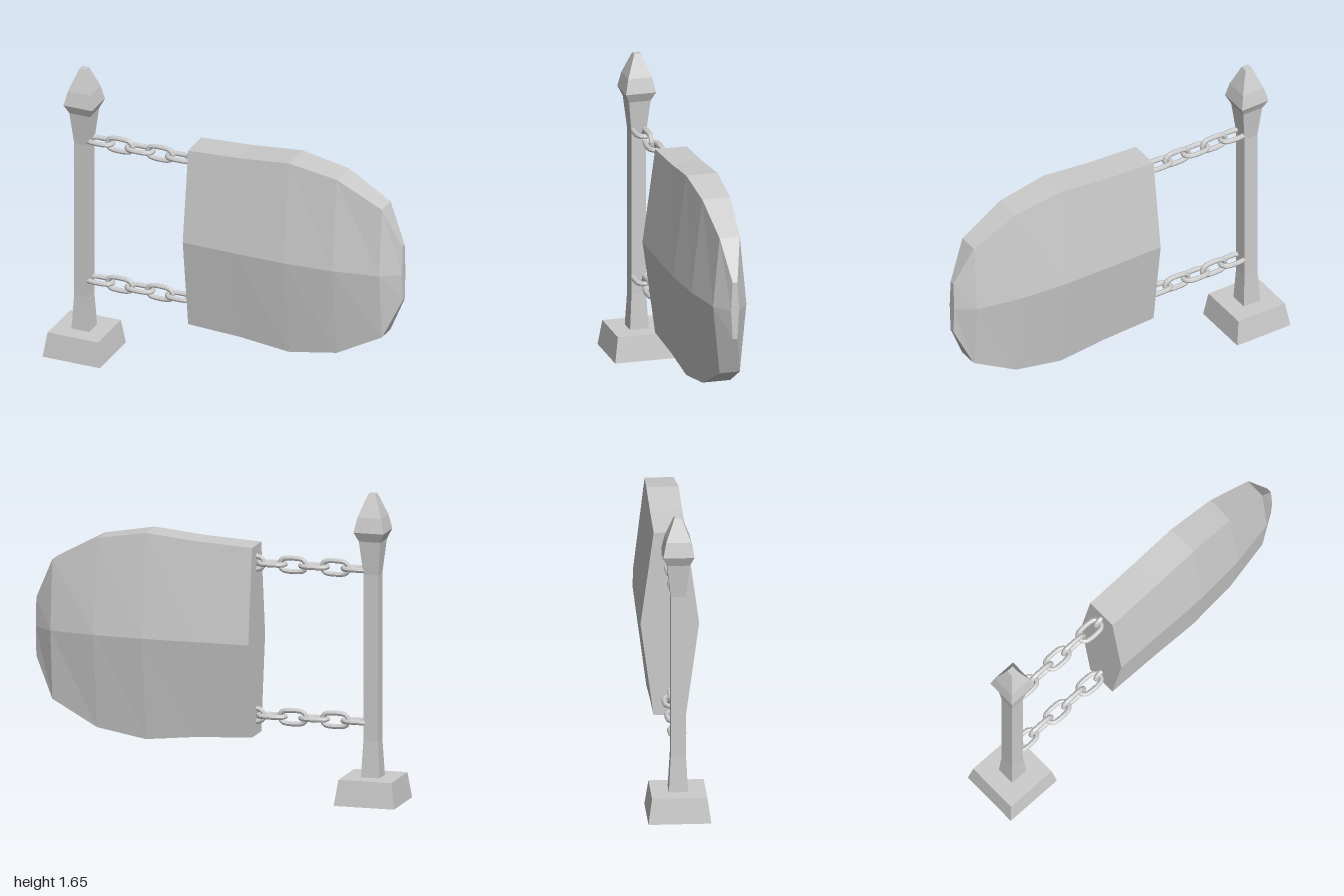
import * as THREE from 'three';

const material = new THREE.MeshStandardMaterial({ color: 0xcccccc, flatShading: true });

// Closed solid through rings of equal length, with flat end caps
function loft(rings) {
  const n = rings[0].length, last = (rings.length - 1) * n, index = [];
  for (let i = 0; i < rings.length - 1; i++) {
    for (let j = 0; j < n; j++) {
      const k = (j + 1) % n, a = i * n, b = a + n;
      index.push(a + j, a + k, b + k, a + j, b + k, b + j);
    }
  }
  for (let j = 1; j < n - 1; j++) {
    index.push(0, j + 1, j, last, last + j, last + j + 1);
  }
  const indexed = new THREE.BufferGeometry();
  indexed.setAttribute('position', new THREE.Float32BufferAttribute(rings.flat(2), 3));
  indexed.setIndex(index);
  const geometry = indexed.toNonIndexed();
  geometry.computeVertexNormals();
  return geometry;
}

// Square-section column from [y, half width] pairs
const squareColumn = (profile) =>
  loft(profile.map(([y, h]) => [[h, y, h], [h, y, -h], [-h, y, -h], [-h, y, h]]));

function addMesh(parent, name, geometry) {
  const mesh = new THREE.Mesh(geometry, material);
  mesh.name = name;
  parent.add(mesh);
  return mesh;
}

// Stadium-shaped chain link lying along x, upright in the xy plane
function linkGeometry() {
  const straight = 0.038, r = 0.034, points = [];
  for (let i = 0; i < 12; i++) {
    const side = i < 6 ? 1 : -1;
    const a = -Math.PI / 2 + (i % 6) * Math.PI / 5 + (i < 6 ? 0 : Math.PI);
    points.push(new THREE.Vector3(side * straight + r * Math.cos(a), r * Math.sin(a), 0));
  }
  const path = new THREE.CatmullRomCurve3(points, true, 'centripetal');
  return new THREE.TubeGeometry(path, 24, 0.0135, 8, true);
}

export function createModel() {
  const model = new THREE.Group();
  model.name = 'hangingSign';

  // Post with a sloped foot and a pointed finial
  const post = new THREE.Group();
  post.name = 'post';
  post.position.x = -0.835;
  model.add(post);
  addMesh(post, 'foot', squareColumn([[0, 0.165], [0.137, 0.145]]));
  addMesh(post, 'shaft', squareColumn([[0.13, 0.051], [0.33, 0.04], [1.22, 0.04], [1.4, 0.059]]));
  addMesh(post, 'finial', squareColumn([[1.4, 0.059], [1.45, 0.082], [1.53, 0.065], [1.65, 0.019]]));

  // Sign board: x, top, bottom, half thickness at the rim, half thickness at mid height
  const stations = [
    [-0.2, 1.335, 0.32, 0.085, 0.154],
    [0.1, 1.352, 0.306, 0.085, 0.157],
    [0.38, 1.38, 0.277, 0.085, 0.157],
    [0.65, 1.335, 0.323, 0.076, 0.137],
    [0.9, 1.202, 0.455, 0.055, 0.091],
    [1.0, 0.985, 0.672, 0.013, 0.022],
  ];
  addMesh(model, 'board', loft(stations.map(([x, top, bottom, e, m]) => [
    [x, top, -e], [x, top, e], [x, 0.828, m], [x, bottom, e], [x, bottom, -e], [x, 0.828, -m],
  ])));

  // Two chains from post to board, alternate links turned a quarter turn
  const link = linkGeometry();
  for (const [name, y] of [['upperChain', 1.24], ['lowerChain', 0.425]]) {
    const chain = new THREE.Group();
    chain.name = name;
    chain.position.y = y;
    model.add(chain);
    for (let i = 0; i < 6; i++) {
      const mesh = addMesh(chain, 'link', link);
      mesh.position.x = -0.745 + i * 0.1155;
      mesh.rotation.x = i % 2 ? 0 : Math.PI / 2;
    }
  }
  return model;
}
